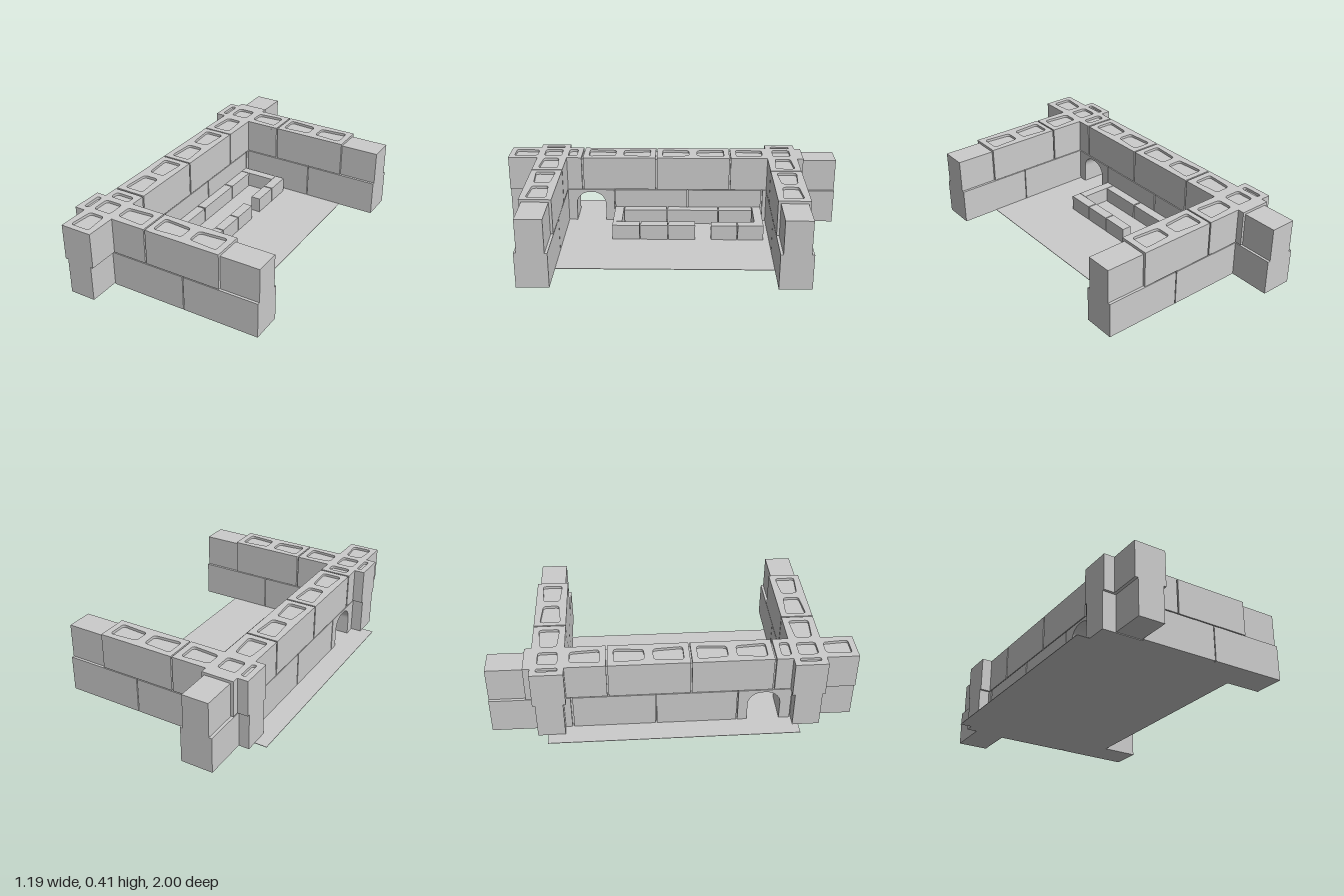
import * as THREE from 'three';

const material = new THREE.MeshStandardMaterial({ color: 0xcccccc, flatShading: true });
const CELL_DEPTH = 0.015;

function box(name, x0, x1, y0, y1, z0, z1) {
  const mesh = new THREE.Mesh(new THREE.BoxGeometry(x1 - x0, y1 - y0, z1 - z0), material);
  mesh.position.set((x0 + x1) / 2, (y0 + y1) / 2, (z0 + z1) / 2);
  mesh.name = name;
  return mesh;
}

// Closed outline with corners rounded by quadratic curves
function roundedPath(points, r) {
  const path = new THREE.Path();
  const v = points.map(([x, y]) => new THREE.Vector2(x, y));
  v.forEach((p, i) => {
    const prev = v[(i + v.length - 1) % v.length];
    const next = v[(i + 1) % v.length];
    const a = p.clone().add(prev.clone().sub(p).setLength(r));
    const b = p.clone().add(next.clone().sub(p).setLength(r));
    if (i === 0) path.moveTo(a.x, a.y);
    else path.lineTo(a.x, a.y);
    path.quadraticCurveTo(p.x, p.y, b.x, b.y);
  });
  path.closePath();
  return path;
}

// Cell opening; narrow = which end is pinched ('x-', 'x+', 'z-', 'z+' or none)
function cellPath([x0, x1, z0, z1, narrow]) {
  const t = 0.012;
  const pinch = (end) => (narrow === end ? t : 0);
  const points = [
    [x0 + pinch('z-'), -z0 - pinch('x-')],
    [x0 + pinch('z+'), -z1 + pinch('x-')],
    [x1 - pinch('z+'), -z1 + pinch('x+')],
    [x1 - pinch('z-'), -z0 - pinch('x+')],
  ];
  return roundedPath(points, Math.min(0.02, (x1 - x0) * 0.4, (z1 - z0) * 0.4));
}

// Top-course block with recessed cells
function cellBlock(name, x0, x1, z0, z1, cells) {
  const group = new THREE.Group();
  group.name = name;
  const top = 0.415, seat = top - CELL_DEPTH;
  group.add(box('blockBody', x0, x1, 0.21, seat, z0, z1));
  const shape = new THREE.Shape([[x0, -z1], [x1, -z1], [x1, -z0], [x0, -z0]].map(([x, y]) => new THREE.Vector2(x, y)));
  shape.holes = cells.map(cellPath);
  const geo = new THREE.ExtrudeGeometry(shape, { depth: CELL_DEPTH, bevelEnabled: false, curveSegments: 5 });
  geo.rotateX(-Math.PI / 2).translate(0, seat, 0);
  const rim = new THREE.Mesh(geo, material);
  rim.name = 'blockRim';
  group.add(rim);
  return group;
}

// Slab along z with an arched opening at its foot
function archedSlab(name, x0, x1, y0, y1, z0, z1) {
  const s = new THREE.Shape();
  const a = 0.41, b = 0.59, top = 0.19, r = 0.08;
  s.moveTo(z0, y0);
  s.lineTo(a, y0);
  s.lineTo(a, top - r);
  s.absarc(a + r, top - r, r, Math.PI, Math.PI / 2, true);
  s.absarc(b - r, top - r, r, Math.PI / 2, 0, true);
  s.lineTo(b, y0);
  s.lineTo(z1, y0);
  s.lineTo(z1, y1);
  s.lineTo(z0, y1);
  const geo = new THREE.ExtrudeGeometry(s, { depth: x1 - x0, bevelEnabled: false, curveSegments: 8 });
  geo.rotateY(-Math.PI / 2).translate(x1, 0, 0);
  const mesh = new THREE.Mesh(geo, material);
  mesh.name = name;
  return mesh;
}

function createWing(name, z0, z1) {
  const wing = new THREE.Group();
  wing.name = name;
  const a = z0 + 0.033, b = z1 - 0.033;
  // Inner fill, left exposed at the open end and the outer corner
  wing.add(box('wingCore', -0.53, 0.59, 0, 0.4, z0 + 0.015, z1 - 0.015));
  wing.add(box('lowerBlock', -0.30, 0.145, 0, 0.205, z0, z1));
  wing.add(box('lowerBlock', 0.15, 0.59, 0, 0.205, z0, z1));
  wing.add(cellBlock('cornerBlock', -0.53, -0.085, z0, z1, [
    [-0.497, -0.47, a, b],
    [-0.435, -0.33, a + 0.004, b - 0.004],
    [-0.28, -0.12, a, b, 'x-'],
  ]));
  wing.add(cellBlock('upperBlock', -0.077, 0.365, z0, z1, [
    [-0.048, 0.117, a, b, 'x+'],
    [0.167, 0.33, a, b, 'x-'],
  ]));
  return wing;
}

function createBackWall() {
  const wall = new THREE.Group();
  wall.name = 'backWall';
  const x0 = -0.47, x1 = -0.288, a = -0.437, b = -0.323;
  wall.add(archedSlab('wallCore', -0.453, -0.303, 0.004, 0.4, -1, 1));
  // Lower course
  for (const [z0, z1] of [[-1, -0.56], [-0.55, -0.1], [-0.093, 0.35]]) {
    wall.add(box('lowerBlock', x0, x1, 0, 0.205, z0, z1));
  }
  wall.add(archedSlab('archBlock', x0, x1, 0, 0.205, 0.357, 0.65));
  // Upper course
  wall.add(cellBlock('upperBlock', x0, x1, -0.8, -0.762, []));
  wall.add(cellBlock('upperBlock', x0, x1, -0.582, -0.36, [[a, b, -0.555, -0.395, 'z-']]));
  for (const z of [-0.352, 0.1]) {
    wall.add(cellBlock('upperBlock', x0, x1, z, z + 0.443, [
      [a, b, z + 0.033, z + 0.197, 'z+'],
      [a, b, z + 0.247, z + 0.41, 'z-'],
    ]));
  }
  wall.add(cellBlock('upperBlock', x0, x1, 0.553, 0.642, [[a, b, 0.585, 0.638]]));
  wall.add(cellBlock('endBlock', x0, x1, 0.822, 1, [[a, b, 0.826, 0.967, 'z-']]));
  return wall;
}

// Low ring of bricks with a gap on the open side
function createHearth() {
  const hearth = new THREE.Group();
  hearth.name = 'hearth';
  const bricks = [
    [-0.286, -0.233, -0.493, -0.29], [-0.286, -0.233, -0.283, 0.025], [-0.286, -0.233, 0.033, 0.292],
    [-0.286, -0.065, -0.548, -0.497], [-0.286, -0.065, 0.296, 0.35],
    [-0.063, -0.006, -0.548, -0.396], [-0.063, -0.006, -0.39, -0.237],
    [-0.063, -0.006, -0.143, 0.015], [-0.063, -0.006, 0.021, 0.182], [-0.063, -0.006, 0.188, 0.35],
  ];
  for (const [x0, x1, z0, z1] of bricks) hearth.add(box('hearthBrick', x0, x1, 0.002, 0.094, z0, z1));
  return hearth;
}

export function createModel() {
  const model = new THREE.Group();
  model.name = 'blockEnclosure';
  model.add(box('floor', -0.6, 0.375, 0, 0.003, -0.69, 0.69));
  model.add(createBackWall());
  model.add(createWing('frontWing', 0.642, 0.822));
  model.add(createWing('rearWing', -0.762, -0.582));
  model.add(createHearth());
  return model;
}
